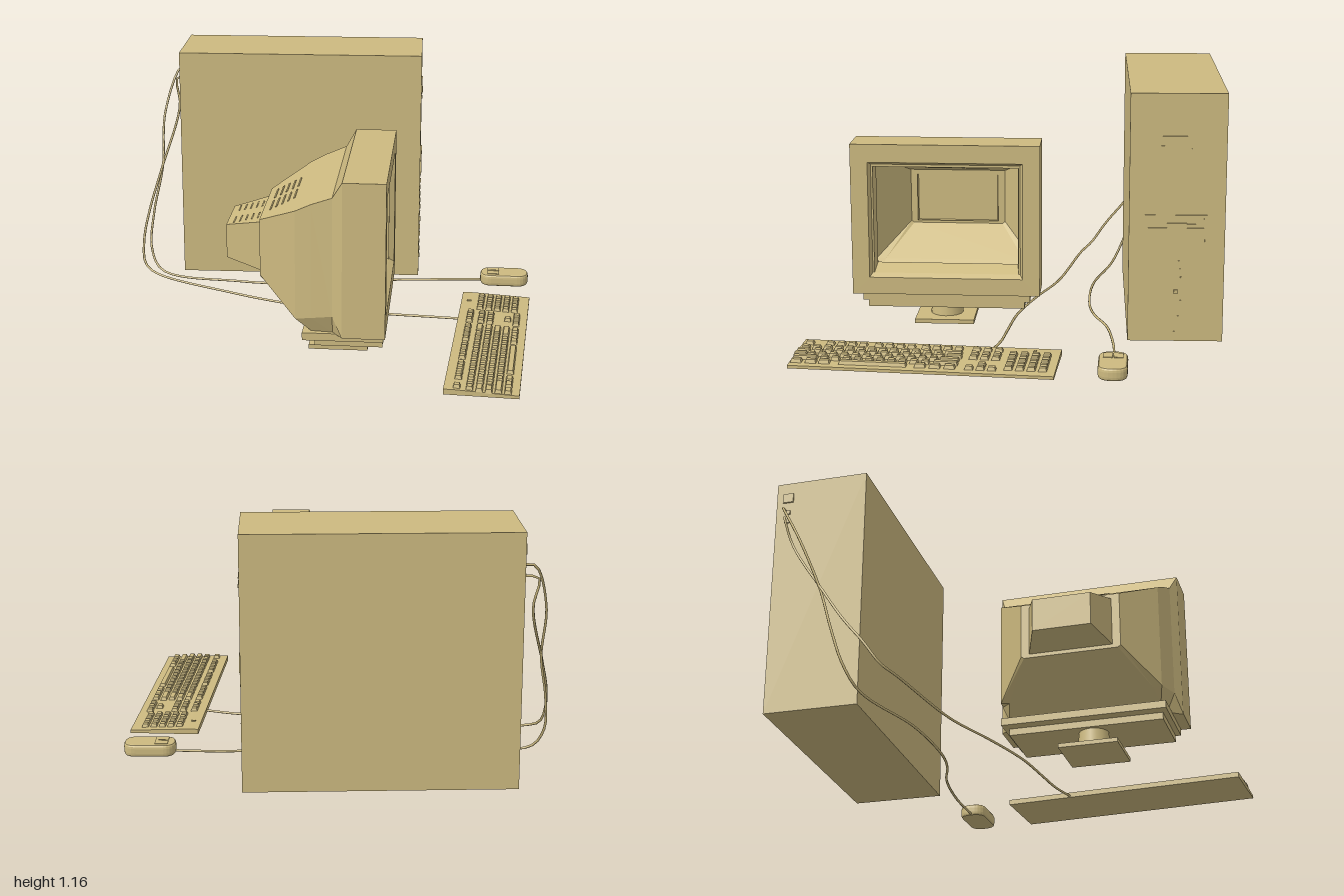
import * as THREE from 'three';

const beige = new THREE.MeshStandardMaterial({ color: 0xcdba80, side: THREE.DoubleSide });
beige.name = 'beige plastic';

function add(parent, name, geometry, x = 0, y = 0, z = 0) {
  const m = new THREE.Mesh(geometry, beige);
  m.name = name;
  m.position.set(x, y, z);
  parent.add(m);
  return m;
}
const box = (parent, name, w, h, d, x, y, z) => add(parent, name, new THREE.BoxGeometry(w, h, d), x, y, z);

function group(parent, name, x, z, angle) {
  const g = new THREE.Group();
  g.name = name;
  g.position.set(x, 0, z);
  g.rotation.y = angle;
  parent.add(g);
  return g;
}

// Flat-faced skin over rings of [x, y, z] points, optionally closed at the last ring
function loft(rings, cap = false) {
  const p = [];
  const n = rings[0].length;
  for (let i = 0; i < rings.length - 1; i++) {
    for (let j = 0; j < n; j++) {
      const k = (j + 1) % n, a = rings[i], b = rings[i + 1];
      p.push(...a[j], ...b[j], ...b[k], ...a[j], ...b[k], ...a[k]);
    }
  }
  if (cap) {
    const e = rings[rings.length - 1];
    for (let j = 1; j < n - 1; j++) p.push(...e[0], ...e[j + 1], ...e[j]);
  }
  const g = new THREE.BufferGeometry();
  g.setAttribute('position', new THREE.Float32BufferAttribute(p, 3));
  g.computeVertexNormals();
  return g;
}
const rect = (x, h, y0, y1) => [[x, y0, -h], [x, y0, h], [x, y1, h], [x, y1, -h]];

function cable(parent, name, points) {
  const curve = new THREE.CatmullRomCurve3(points.map(p => new THREE.Vector3(...p)), false, 'centripetal');
  add(parent, name, new THREE.TubeGeometry(curve, 70, 0.006, 6));
}

function buildTower(root) {
  const t = group(root, 'tower', -0.24, -0.652, 0.116);
  box(t, 'towerCase', 1.208, 1.15, 0.434, 0, 0.58, 0);
  // Front panel, facing local +x
  const f = 0.606;
  box(t, 'panelSeam', 0.004, 0.004, 0.36, f, 0.96, 0);
  for (const [z, w] of [[0.05, 0.015], [-0.095, 0.03], [-0.15, 0.015]]) {
    box(t, 'panelButton', 0.008, 0.014, w, f, 0.912, z + 0.02);
  }
  box(t, 'driveBezelTop', 0.008, 0.015, 0.28, f, 0.593, 0.005);
  box(t, 'driveBezelBottom', 0.008, 0.015, 0.28, f, 0.533, 0.005);
  for (const z of [-0.128, 0.138]) box(t, 'driveBezelSide', 0.008, 0.06, 0.014, f, 0.563, z);
  box(t, 'driveSlot', 0.004, 0.006, 0.23, f, 0.555, 0.005);
  box(t, 'driveFlap', 0.008, 0.025, 0.09, f, 0.55, 0);
  box(t, 'bezelEdge', 0.004, 0.06, 0.004, f, 0.49, -0.128);
  for (let i = 0; i < 12; i++) {
    const a = i / 11;
    box(t, 'ventNotch', 0.004, 0.022, 0.006, f, 0.04 + a * 0.41, 0.005 - 0.03 * Math.sin(a * Math.PI));
  }
  box(t, 'powerButton', 0.01, 0.02, 0.018, f, 0.24, 0);
  // Rear sockets
  for (const [y, h, w] of [[1.075, 0.045, 0.05], [1.0, 0.02, 0.025], [0.955, 0.02, 0.025]]) {
    box(t, 'rearSocket', 0.012, h, w, -0.606, y, -0.16);
  }
}

function buildMonitor(root) {
  const m = group(root, 'monitor', 0.36, 0.345, 0.0917);
  // Hollow shell: x, half width, top, side bottom, belly, belly half width
  const shell = [
    [0, 0.437, 0.887, 0.176, 0.175, 0.43],
    [-0.19, 0.437, 0.887, 0.176, 0.175, 0.43],
    [-0.235, 0.408, 0.81, 0.265, 0.175, 0.37],
    [-0.33, 0.393, 0.773, 0.25, 0.176, 0.36],
    [-0.4, 0.381, 0.738, 0.24, 0.235, 0.34],
    [-0.573, 0.233, 0.645, 0.385, 0.375, 0.22],
  ].map(([x, h, top, side, low, lh]) =>
    [[x, low, -lh], [x, low, lh], [x, side, h], [x, top, h], [x, top, -h], [x, side, -h]]);
  add(m, 'monitorShell', loft(shell, true));
  add(m, 'tubeHousing', loft([rect(-0.56, 0.2, 0.39, 0.625), rect(-0.736, 0.135, 0.43, 0.585)], true));
  // Stepped frame around the open screen
  add(m, 'screenFrame', loft([
    rect(0, 0.437, 0.175, 0.887),
    rect(0, 0.357, 0.255, 0.803),
    rect(-0.025, 0.345, 0.272, 0.79),
    rect(-0.025, 0.337, 0.272, 0.778),
    rect(-0.09, 0.33, 0.305, 0.77),
  ]));
  // Vent slots on the sloping top and the tube housing
  for (const s of [-1, 1]) {
    for (let i = 0; i < 5; i++) {
      const x = -0.425 - i * 0.027;
      const y = 0.738 + (x + 0.4) * 0.5376;
      const slot = box(m, 'topVent', 0.008, 0.006, 0.13, x, y, s * 0.09);
      slot.rotation.z = 0.493;
      const rear = box(m, 'rearVent', 0.006, 0.004, 0.08, x - 0.17, 0.625 - (i * 0.027 + 0.035) * 0.227, s * 0.085);
      rear.rotation.z = 0.224;
    }
  }
  // Chin, swivel neck and foot
  box(m, 'chinUpper', 0.36, 0.035, 0.78, -0.19, 0.16, 0);
  box(m, 'chinLower', 0.3, 0.035, 0.73, -0.165, 0.128, 0);
  add(m, 'standNeck', new THREE.CylinderGeometry(0.07, 0.078, 0.09, 16), -0.228, 0.07, 0.02);
  box(m, 'standFoot', 0.27, 0.02, 0.28, -0.228, 0.015, 0.02);
}

function buildKeyboard(root) {
  const k = group(root, 'keyboard', 0.822, 0.342, 0.026);
  const profile = new THREE.Shape([[-0.163, 0.008], [0.163, 0.008], [0.163, 0.022], [-0.11, 0.033], [-0.163, 0.033]]
    .map(p => new THREE.Vector2(...p)));
  const slab = new THREE.ExtrudeGeometry(profile, { depth: 1.17, bevelEnabled: false });
  add(k, 'keyboardCase', slab, 0, 0, -0.585);

  // Tapered key cap centred at x, z
  const key = (x, z, d = 0.038, w = 0.032) => {
    const y = 0.027 - x * 0.04, h = 0.017;
    const ring = (yy, s) => [[-w / 2 + s, yy, -d / 2 + s], [w / 2 - s, yy, -d / 2 + s],
      [w / 2 - s, yy, d / 2 - s], [-w / 2 + s, yy, d / 2 - s]];
    add(k, 'key', loft([ring(0, 0), ring(h, 0.005)], true), x, y, z);
  };
  const row = (x, z0, n, step = 0.05) => {
    for (let i = 0; i < n; i++) key(x, z0 + i * step, step - 0.012);
  };
  const rows = [-0.052, -0.01, 0.031, 0.072, 0.113];
  // Function row
  row(-0.107, -0.31, 3);
  for (const z of [-0.13, 0.085, 0.305]) row(-0.107, z, 4);
  key(-0.107, 0.55);
  // Main block
  key(rows[0], -0.115, 0.08);
  row(rows[0], -0.045, 13);
  row(rows[1], -0.06, 12);
  key(rows[1], 0.555, 0.06);
  key(rows[1], -0.125, 0.07);
  row(rows[2], -0.04, 12);
  key(rows[2], -0.11, 0.088);
  key(rows[2], 0.558, 0.06);
  row(rows[3], -0.01, 10);
  key(rows[3], -0.1, 0.11);
  key(rows[3], 0.525, 0.11);
  for (const z of [-0.125, -0.06, 0.005, 0.43, 0.49, 0.555]) key(rows[4], z, 0.05);
  key(rows[4], 0.215, 0.3);
  // Navigation and arrow keys
  row(rows[0], -0.31, 3);
  row(rows[1], -0.31, 3);
  key(rows[3], -0.26);
  row(rows[4], -0.31, 3);
  // Number pad
  for (const x of rows) row(x - 0.015, -0.53, 4);
  box(k, 'indicatorStrip', 0.02, 0.006, 0.012, -0.125, 0.034, -0.47);
}

function buildMouse(root) {
  const m = group(root, 'mouse', 0.826, -0.486, 0.08);
  const a = 0.11, b = 0.055, r = 0.045;
  const s = new THREE.Shape();
  s.moveTo(-a + r, -b);
  s.lineTo(a - r, -b).quadraticCurveTo(a, -b, a, 0).quadraticCurveTo(a, b, a - r, b);
  s.lineTo(-a + r, b).quadraticCurveTo(-a, b, -a, 0).quadraticCurveTo(-a, -b, -a + r, -b);
  const g = new THREE.ExtrudeGeometry(s, { depth: 0.022, bevelThickness: 0.018, bevelSize: 0.01, bevelSegments: 3, curveSegments: 6 });
  g.rotateX(-Math.PI / 2);
  add(m, 'mouseBody', g, 0, 0.022, 0);
  for (const z of [-0.024, 0.024]) box(m, 'mouseButton', 0.06, 0.006, 0.042, -0.055, 0.062, z);
  box(m, 'mouseWheel', 0.03, 0.012, 0.006, -0.055, 0.063, 0);
}

export function createModel() {
  const root = new THREE.Group();
  root.name = 'desktopComputer';
  buildTower(root);
  buildMonitor(root);
  buildKeyboard(root);
  buildMouse(root);
  cable(root, 'mouseCable', [
    [0.72, 0.015, -0.48], [0.46, 0.008, -0.45], [0.2, 0.008, -0.39], [0.05, 0.008, -0.32], [-0.06, 0.008, -0.285],
    [-0.22, 0.008, -0.26], [-0.5, 0.008, -0.25], [-0.92, 0.02, -0.31], [-0.985, 0.12, -0.355],
    [-0.985, 0.3, -0.42], [-0.955, 0.52, -0.5], [-0.965, 0.78, -0.61], [-0.905, 1.0, -0.74], [-0.86, 1.005, -0.75]]);
  cable(root, 'keyboardCable', [
    [0.67, 0.018, 0.08], [0.5, 0.01, 0.062], [0.33, 0.008, 0.06], [0.1, 0.008, 0.055], [-0.05, 0.008, 0.035],
    [-0.23, 0.008, 0], [-0.5, 0.015, -0.07], [-0.9, 0.065, -0.14], [-0.97, 0.1, -0.185], [-0.994, 0.2, -0.255],
    [-0.99, 0.33, -0.36], [-0.96, 0.5, -0.48], [-0.905, 0.8, -0.68], [-0.925, 0.94, -0.72], [-0.86, 0.955, -0.75]]);
  return root;
}
